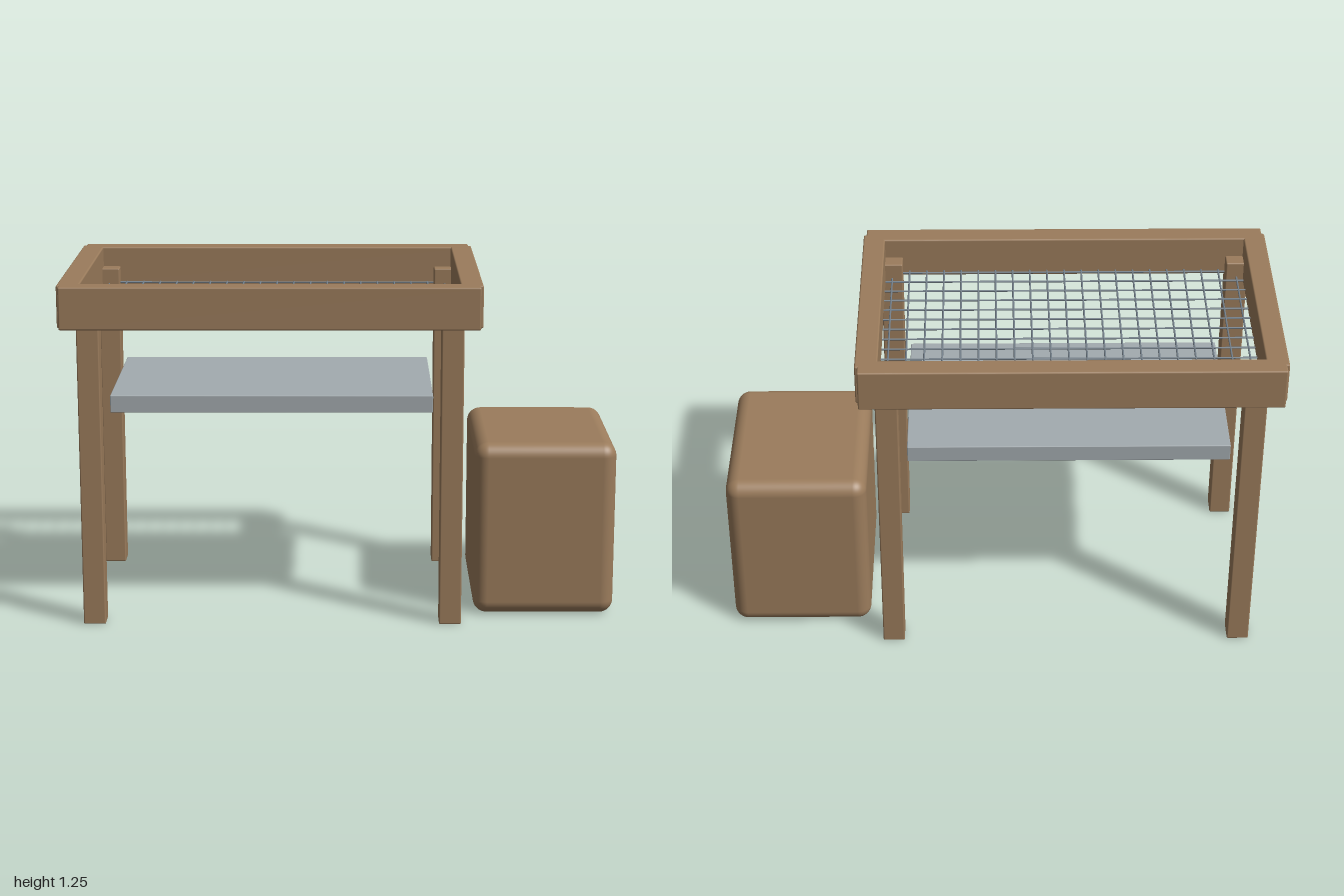
import * as THREE from 'three';
import { RoundedBoxGeometry } from 'three/addons/geometries/RoundedBoxGeometry.js';

const material = (name, color) => Object.assign(new THREE.MeshStandardMaterial({ color }), { name });

export function createModel() {
  const wood = material('wood', 0x9b7c5c);
  const slate = material('shelf grey', 0xa3abaf);
  const wire = material('wire grey', 0x737f89);
  const model = new THREE.Group();
  model.name = 'meshTopTableAndStool';

  // Adds a block spanning the given ranges, with edges rounded by radius
  const block = (name, mat, [x0, x1], [y0, y1], [z0, z1], radius, segments = 2) => {
    const mesh = new THREE.Mesh(new RoundedBoxGeometry(x1 - x0, y1 - y0, z1 - z0, segments, radius), mat);
    mesh.name = name;
    mesh.position.set((x0 + x1) / 2, (y0 + y1) / 2, (z0 + z1) / 2);
    model.add(mesh);
  };

  const cx = -0.25; // table centre
  const around = (c, half) => [c - half, c + half];

  // Top frame and legs
  for (const s of [-1, 1]) {
    block('longRail', wood, around(cx, 0.74), [1.097, 1.25], around(s * 0.44, 0.04), 0.006);
    block('endRail', wood, around(cx + s * 0.71, 0.04), [1.097, 1.25], [-0.44, 0.44], 0.006);
    for (const t of [-1, 1]) {
      block('leg', wood, around(cx + s * 0.645, 0.04), [0, 1.175], around(t * 0.387, 0.041), 0.005);
    }
  }

  // Round wires stretched across the bottom of the frame
  const mesh = new THREE.Group();
  mesh.name = 'wireMesh';
  mesh.position.set(cx, 1.115, 0);
  model.add(mesh);
  const pitch = 0.0645, r = 0.0035;
  const crossWire = new THREE.CylinderGeometry(r, r, 0.82, 12).rotateX(Math.PI / 2);
  const longWire = new THREE.CylinderGeometry(r, r, 1.36, 12).rotateZ(Math.PI / 2);
  const addWire = (name, geometry, x, z) => {
    const strand = new THREE.Mesh(geometry, wire);
    strand.name = name;
    strand.position.set(x, 0, z);
    mesh.add(strand);
  };
  for (let i = -10; i <= 10; i++) addWire('crossWire', crossWire, i * pitch, 0);
  for (let i = -6; i <= 6; i++) addWire('longWire', longWire, 0, i * pitch);

  // Shelf below the mesh
  block('shelf', slate, around(cx, 0.58), [0.768, 0.831], [-0.335, 0.335], 0.003);

  // Soft-edged stool beside the table
  block('stool', wood, [0.485, 1], [0, 0.645], [-0.322, 0.322], 0.05, 6);

  return model;
}
